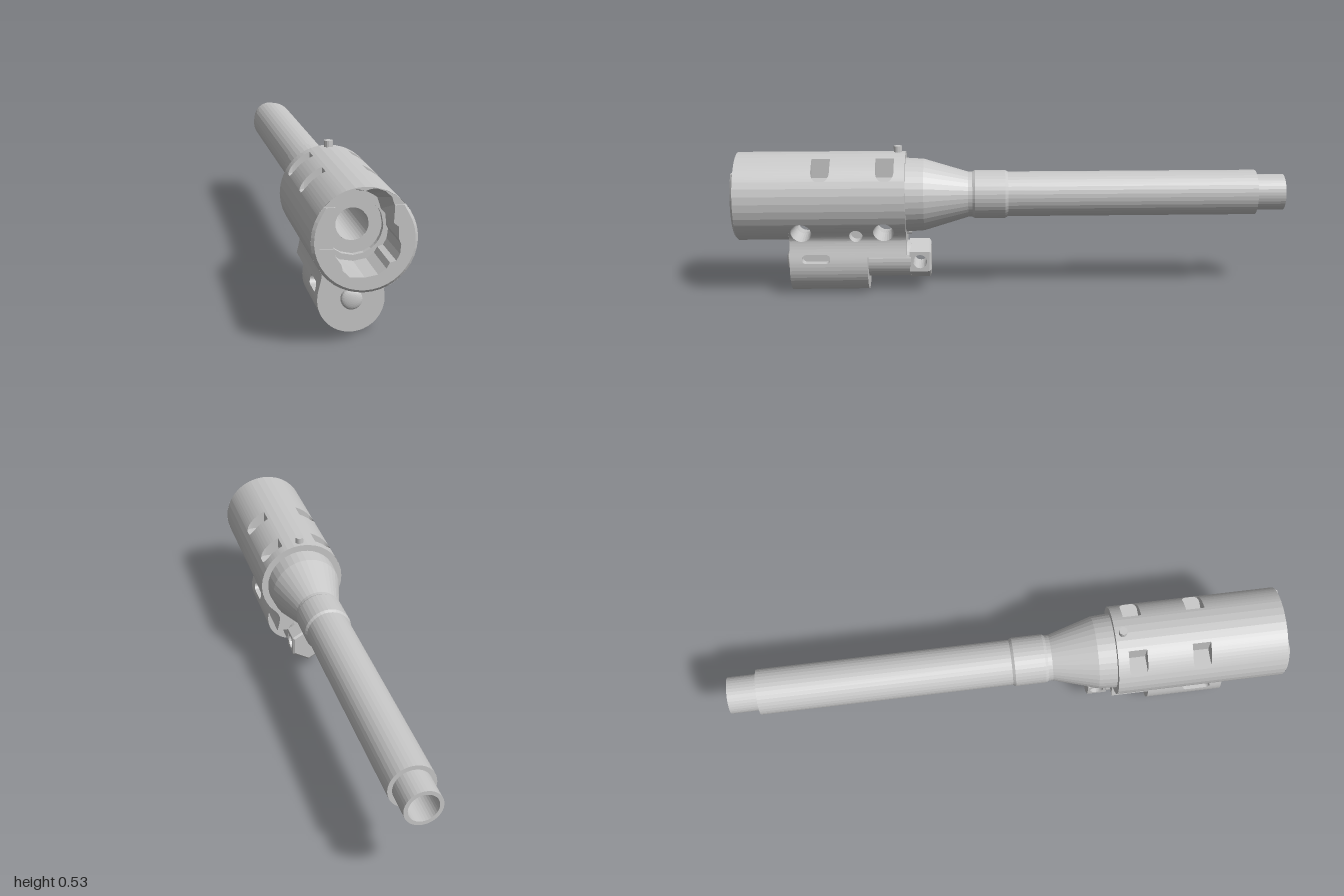
import * as THREE from 'three';

const AXIS = 0.35; // height of the barrel axis
const steel = new THREE.MeshStandardMaterial({ color: 0xc8c8c8, flatShading: true, side: THREE.DoubleSide });
steel.name = 'grey steel';

function part(name, geometry, x = 0, y = 0, z = 0) {
  const mesh = new THREE.Mesh(geometry, steel);
  mesh.name = name;
  mesh.position.set(x, y, z);
  return mesh;
}

function soup(pos) {
  const g = new THREE.BufferGeometry();
  g.setAttribute('position', new THREE.Float32BufferAttribute(pos, 3));
  g.computeVertexNormals();
  return g;
}

// Round hole running along x, narrowing by the taper towards the middle
function throughHole(z, yc, r, taper = 1) {
  return {
    z, lo: yc - r, hi: yc + r, taper,
    half: (x, y) => Math.sqrt(Math.max(0, r * r - (y - yc) ** 2)),
    inner: (x, y) => [0, yc + (y - yc) * taper],
  };
}

// Blind pocket along x, down to innerX; straight lengthens it into a slot
function blindHole(z, yc, r, innerX, straight = 0) {
  return {
    z, lo: yc - r, hi: yc + r, taper: 1, floor: true,
    half: (x, y) => straight + Math.sqrt(Math.max(0, r * r - (y - yc) ** 2)),
    inner: (x, y) => [innerX, y],
  };
}

// Notch cut from above with a flat floor and rounded outer corners
function topNotch(z) {
  const r = 0.022, floorY = 0.4275;
  return {
    z, lo: floorY, hi: 0.496, taper: 1, floor: true,
    half: (x) => 0.011 + Math.sqrt(Math.max(0, r * r - Math.max(0, x - 0.118) ** 2)),
    inner: (x) => [x, floorY],
  };
}

// Mirrored side walls of a body with half-width w(y), running along z, with holes cut in
function sideWalls(baseYs, w, zRange, holes) {
  const top = Math.max(...baseYs), bottom = Math.min(...baseYs);
  const all = [...baseYs];
  for (const h of holes)
    for (let k = 0; k <= 12; k++) all.push(h.lo + (h.hi - h.lo) * (1 - Math.cos(k / 12 * Math.PI)) / 2);
  const ys = all.filter((y) => y >= bottom && y <= top).sort((a, b) => b - a)
    .filter((y, i, arr) => i === 0 || arr[i - 1] - y > 1e-6);
  const pos = [];
  const quad = (a, b, c, d) => {
    for (const p of [a, b, c, a, c, d]) pos.push(...p);
    for (const p of [a, c, b, a, d, c]) pos.push(-p[0], p[1], p[2]);
  };
  const P = (y, z) => [w(y), y, z];
  for (let i = 0; i < ys.length - 1; i++) {
    const t = ys[i], b = ys[i + 1], mid = (t + b) / 2;
    const [z0, z1] = zRange(mid);
    const active = holes.filter((h) => h.lo < mid && mid < h.hi).sort((m, n) => m.z - n.z);
    const edges = (y) => [z0, ...active.flatMap((h) => [h.z - h.half(w(y), y), h.z + h.half(w(y), y)]), z1];
    const et = edges(t), eb = edges(b);
    for (let k = 0; k < et.length; k += 2)
      quad(P(b, eb[k]), P(t, et[k]), P(t, et[k + 1]), P(b, eb[k + 1]));
    active.forEach((h, k) => {
      const I = (y, z) => [...h.inner(w(y), y), h.z + (z - h.z) * h.taper];
      const tl = et[2 * k + 1], th = et[2 * k + 2], bl = eb[2 * k + 1], bh = eb[2 * k + 2];
      quad(P(b, bl), P(t, tl), I(t, tl), I(b, bl));
      quad(P(b, bh), I(b, bh), I(t, th), P(t, th));
      if (h.floor) quad(I(b, bl), I(t, tl), I(t, th), I(b, bh));
      if (Math.abs(t - h.hi) < 2e-6) quad(P(t, tl), P(t, th), I(t, th), I(t, tl));
      if (Math.abs(b - h.lo) < 2e-6) quad(P(b, bl), I(b, bl), I(b, bh), P(b, bh));
    });
  }
  return soup(pos);
}

// Flat end of such a body
function endCap(ys, w, z, faceBack) {
  const right = ys.map((y) => new THREE.Vector2(w(y), y));
  const left = ys.map((y) => new THREE.Vector2(-w(y), y)).reverse();
  const g = new THREE.ShapeGeometry(new THREE.Shape([...right, ...left]));
  if (faceBack) g.rotateY(Math.PI);
  return g.translate(0, 0, z);
}

const alongZ = (rFront, rBack, length, sides) =>
  new THREE.CylinderGeometry(rBack, rFront, length, sides).rotateX(-Math.PI / 2);

export function createModel() {
  const model = new THREE.Group();
  model.name = 'barrelAssembly';

  // Cross holes shared by the sleeve and the lug below it
  const crossHoles = [throughHole(0.76, 0.235, 0.037, 0.75), throughHole(0.465, 0.235, 0.037, 0.75),
    blindHole(0.565, 0.22, 0.024, 0.04)];

  // Sleeve wall
  const sleeveW = (y) => Math.sqrt(Math.max(0, 0.16 ** 2 - (y - AXIS) ** 2));
  const sleeveYs = Array.from({ length: 19 }, (_, k) => AXIS + 0.16 * Math.cos(k * Math.PI / 18));
  model.add(part('sleeve', sideWalls(sleeveYs, sleeveW, () => [0.385, 0.992],
    [...crossHoles, topNotch(0.457), topNotch(0.685)])));

  // Front opening, clockwise from its upper left corner
  const crown = [[-0.088, 0.453], [-0.08, 0.477], [-0.06, 0.495], [-0.035, 0.504], [-0.018, 0.503], [0, 0.497]];
  const upper = [...crown, ...crown.slice(0, -1).reverse().map(([x, y]) => [-x, y])];
  const rightSide = [[0.085, 0.4], [0.1, 0.388], [0.101, 0.35], [0.108, 0.335], [0.105, 0.305], [0.094, 0.285], [0.075, 0.28]];
  const lowerSide = [[0.065, 0.262], [0.04, 0.245], [0, 0.238], [-0.045, 0.241], [-0.066, 0.262], [-0.07, 0.28]];
  const leftSide = [[-0.088, 0.305], [-0.093, 0.328], [-0.095, 0.37], [-0.09, 0.4]];
  const opening = [...upper, ...rightSide, ...lowerSide, ...leftSide];
  const v2 = (list) => list.map(([x, y]) => new THREE.Vector2(x, y));

  // Front face behind the raised rim
  const face = new THREE.Shape().absarc(0, AXIS, 0.16, 0, Math.PI * 2);
  face.holes.push(new THREE.Path(v2(opening)));
  model.add(part('frontFace', new THREE.ShapeGeometry(face, 18), 0, 0, 0.992));

  // Raised rim, open at the top, with a side pocket and a chamfered edge
  const a = Math.asin(0.103 / 0.16);
  const arc = Array.from({ length: 31 }, (_, k) => {
    const t = a - k / 30 * (Math.PI + 2 * a);
    return [0.16 * Math.cos(t), AXIS + 0.16 * Math.sin(t)];
  });
  const pocket = [[-0.095, 0.408], [-0.122, 0.419], [-0.131, 0.414], [-0.142, 0.38], [-0.143, 0.345], [-0.134, 0.33]];
  const rimInner = [[-0.088, 0.453], ...pocket, ...leftSide.slice(0, 2).reverse(),
    ...lowerSide.slice().reverse(), ...rightSide.slice().reverse(), [0.088, 0.453]];
  const rim = new THREE.ExtrudeGeometry(new THREE.Shape(v2([...arc, ...rimInner])), { depth: 0.008, bevelEnabled: false });
  const rp = rim.attributes.position;
  for (let i = 0; i < rp.count; i++) {
    const x = rp.getX(i), y = rp.getY(i) - AXIS;
    if (rp.getZ(i) > 0.004 && Math.hypot(x, y) > 0.155) rp.setXY(i, x * 0.945, y > 0.1 ? 0.453 : y * 0.945 + AXIS);
  }
  rim.computeVertexNormals();
  model.add(part('frontRim', rim, 0, 0, 0.992));

  // Chamber: keyed opening with a ramp at the top, stepping down to the bore
  const fit = (z, size) => opening.map(([x, y]) => {
    const r = Math.hypot(x, y - AXIS), k = size(r) / r;
    return [x * k, AXIS + (y - AXIS) * k, z];
  });
  const rings = [fit(0.992, (r) => r), fit(0.83, (r) => Math.min(r, 0.113)), fit(0.83, () => 0.093),
    fit(0.81, () => 0.093), fit(0.81, () => 0.052)];
  const chamber = [];
  for (let k = 0; k < rings.length - 1; k++)
    for (let i = 0; i < opening.length; i++) {
      const j = (i + 1) % opening.length;
      const A = rings[k][i], B = rings[k][j], C = rings[k + 1][j], D = rings[k + 1][i];
      for (const p of [A, D, C, A, C, B]) chamber.push(...p);
    }
  model.add(part('chamber', soup(chamber)));

  // Barrel: sleeve shoulder, cone, collar, tube, stepped tip and bore
  const profile = [[0.16, 0.385], [0.135, 0.385], [0.131, 0.32], [0.083, 0.16], [0.083, 0.145], [0.088, 0.135],
    [0.088, 0.025], [0.082, 0.015], [0.082, -0.895], [0.066, -0.895], [0.066, -1], [0.052, -1], [0.052, 0.81]];
  const barrel = new THREE.LatheGeometry(v2(profile.reverse()), 36).rotateX(Math.PI / 2);
  model.add(part('barrel', barrel, 0, AXIS, 0));

  // Pin on top of the sleeve
  model.add(part('topPin', new THREE.CylinderGeometry(0.015, 0.015, 0.04, 12), 0, 0.511, 0.413));

  // Lug under the sleeve: rounded lobe, waisted neck flaring into the sleeve, cut away at the lower back
  const lugW = (y) => {
    if (y < 0.107) return Math.sqrt(Math.max(0, 0.107 ** 2 - (y - 0.107) ** 2));
    if (y < 0.2) return 0.0995 + 0.0075 * Math.cos((y - 0.107) / 0.093 * Math.PI);
    return 0.092 + 0.037 * ((y - 0.2) / 0.055) ** 1.5;
  };
  const lobeYs = Array.from({ length: 13 }, (_, k) => 0.107 - 0.107 * Math.cos(k * Math.PI / 24));
  const neckYs = Array.from({ length: 12 }, (_, k) => 0.14 + k * 0.115 / 11);
  const lugYs = [...lobeYs, 0.124, ...neckYs];
  const slot = blindHole(0.71, 0.135, 0.016, 0.07, 0.035);
  const lug = new THREE.Group();
  lug.name = 'lug';
  lug.add(
    part('lugSides', sideWalls(lugYs, lugW, (y) => [y > 0.14 ? 0.385 : 0.525, 0.805], [...crossHoles, slot])),
    part('lugFront', endCap(lugYs, lugW, 0.805, false)),
    part('lugBackLower', endCap([...lobeYs, 0.124, 0.14], lugW, 0.525, true)),
    part('lugBackUpper', endCap(neckYs, lugW, 0.385, true)),
    part('lugStep', new THREE.PlaneGeometry(2 * lugW(0.14), 0.14).rotateX(Math.PI / 2), 0, 0.14, 0.455),
    part('lugBackPin', alongZ(0.01, 0.01, 0.03, 10), 0, 0.213, 0.382));
  model.add(lug);

  // Cross bolt: domed front end, shaft and drilled hexagonal head with a bevelled back
  const dome = new THREE.SphereGeometry(0.034, 24, 8, 0, Math.PI * 2, 0, Math.PI / 2).rotateX(Math.PI / 2).scale(1, 1, 0.35);
  model.add(part('boltTip', dome, 0, 0.11, 0.815));
  model.add(part('boltTipBase', alongZ(0.034, 0.034, 0.02, 24), 0, 0.11, 0.805));
  model.add(part('boltShaft', alongZ(0.066, 0.066, 0.16, 32), 0, 0.1125, 0.45));
  const headW = (y) => 0.0632 * Math.min(1, Math.max(0, 0.073 - Math.abs(y - 0.1125)) / 0.0365);
  const headYs = [0.0395, 0.076, 0.149, 0.1855];
  model.add(part('boltHead', sideWalls(headYs, headW, () => [0.303, 0.375], [throughHole(0.337, 0.1125, 0.025)])));
  model.add(part('boltHeadBack', alongZ(0.073, 0.064, 0.006, 6), 0, 0.1125, 0.3));
  model.add(part('boltHeadFront', endCap(headYs, headW, 0.375, false)));

  return model;
}
